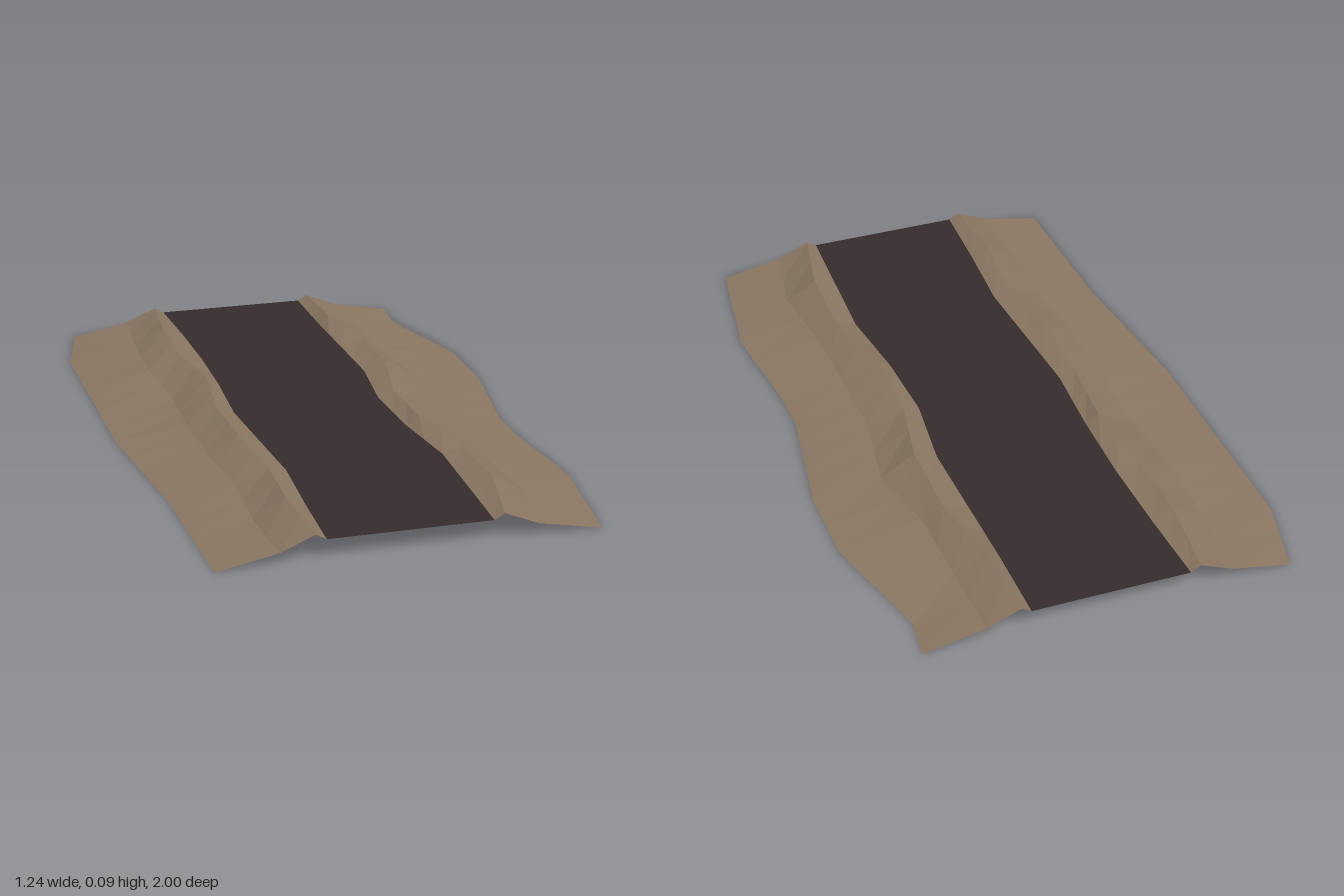
import * as THREE from 'three';

const bankMat = new THREE.MeshStandardMaterial({ color: 0x8b7863, side: THREE.DoubleSide, flatShading: true });
bankMat.name = 'dry earth';
const bedMat = new THREE.MeshStandardMaterial({ color: 0x362c2e, side: THREE.DoubleSide, flatShading: true });
bedMat.name = 'dark bed';

const STEPS = 16;
const BED_Y = 0.06;

// Value of a polyline whose points are evenly spaced from z = -1 to z = 1
function sample(values, z) {
  const t = (z + 1) / 2 * (values.length - 1);
  const i = Math.min(Math.floor(t), values.length - 2);
  return values[i] + (values[i + 1] - values[i]) * (t - i);
}

// Surface through cross-sections; section(z) lists [x, y] points with x rising
function strip(section) {
  const pos = [], index = [];
  let n = 0;
  for (let i = 0; i <= STEPS; i++) {
    const z = -1 + 2 * i / STEPS;
    const pts = section(z);
    n = pts.length;
    for (const [x, y] of pts) pos.push(x, y, z);
  }
  for (let i = 0; i < STEPS; i++) {
    for (let j = 0; j < n - 1; j++) {
      const a = i * n + j, b = a + n;
      index.push(a, b, a + 1, a + 1, b, b + 1);
    }
  }
  const geo = new THREE.BufferGeometry();
  geo.setAttribute('position', new THREE.Float32BufferAttribute(pos, 3));
  geo.setIndex(index);
  geo.computeVertexNormals();
  return geo;
}

// Distances from the centre line, back to front
const left = {
  inner: [0.225, 0.225, 0.23, 0.235, 0.205, 0.215, 0.245, 0.235, 0.225],
  crest: [0.255, 0.26, 0.305, 0.305, 0.255, 0.255, 0.305, 0.305, 0.255],
  mid: [0.355, 0.36, 0.365, 0.41, 0.37, 0.37, 0.375, 0.4, 0.355],
  outer: [0.54, 0.525, 0.555, 0.59, 0.62, 0.62, 0.62, 0.60, 0.58,
    0.56, 0.56, 0.57, 0.585, 0.595, 0.575, 0.56, 0.54],
};
const right = {
  inner: [0.25, 0.24, 0.235, 0.24, 0.255, 0.24, 0.225, 0.24, 0.25],
  crest: [0.28, 0.305, 0.305, 0.28, 0.305, 0.305, 0.28, 0.295, 0.28],
  mid: [0.38, 0.4, 0.41, 0.39, 0.4, 0.4, 0.38, 0.39, 0.38],
  outer: [0.56, 0.62, 0.62, 0.62, 0.62, 0.595, 0.57, 0.565, 0.56],
};
const crestY = [0.077, 0.087, 0.078, 0.088, 0.077, 0.087, 0.078, 0.086, 0.077];
const midY = [0.036, 0.034, 0.038, 0.027, 0.034, 0.036, 0.038, 0.03, 0.035];

// Bank: lip at the bed, low crest, then a shallow outer slope
function bankSection(side, sign, z) {
  const pts = [
    [sign * sample(side.inner, z), BED_Y],
    [sign * sample(side.crest, z), sample(crestY, z)],
    [sign * sample(side.mid, z), sample(midY, z)],
    [sign * sample(side.outer, z), 0],
  ];
  return sign > 0 ? pts : pts.reverse();
}

export function createModel() {
  const group = new THREE.Group();
  group.name = 'channel';
  const add = (name, geo, mat) => {
    const mesh = new THREE.Mesh(geo, mat);
    mesh.name = name;
    group.add(mesh);
  };
  add('leftBank', strip(z => bankSection(left, 1, z)), bankMat);
  add('rightBank', strip(z => bankSection(right, -1, z)), bankMat);
  // Flat bed between the two lips
  add('bed', strip(z => [[-sample(right.inner, z), BED_Y], [sample(left.inner, z), BED_Y]]), bedMat);
  return group;
}
